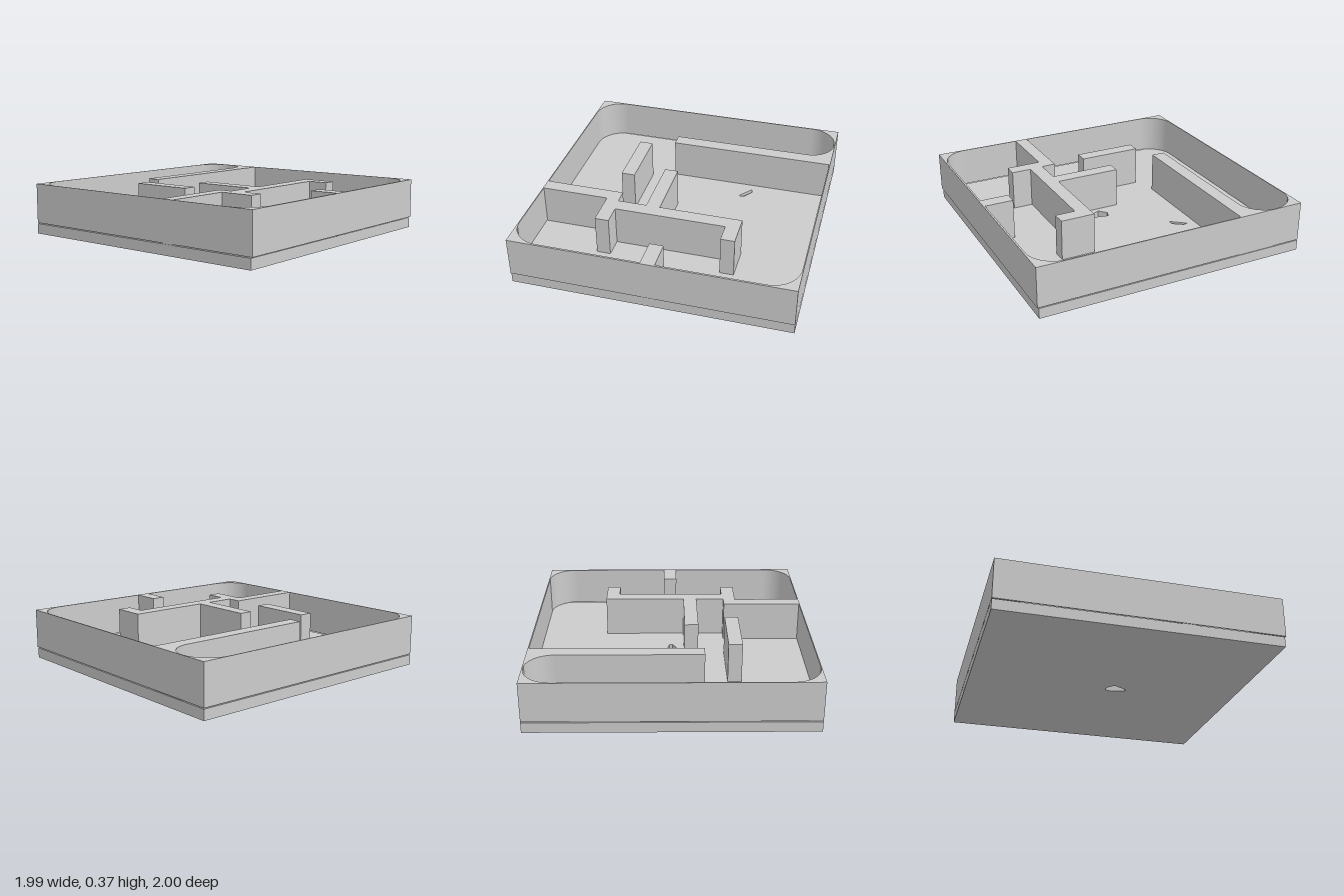
import * as THREE from 'three';

const material = new THREE.MeshStandardMaterial({ color: 0xcccccc });
const BASE_TOP = 0.075, WALL_BOTTOM = 0.081, TOP = 0.37;

// Plan coordinates are [x, z]; shapes are extruded upwards from y0 to y1.
const plan = (points) => new THREE.Shape(points.map(([x, z]) => new THREE.Vector2(x, -z)));
const rect = (x0, x1, z0, z1) => plan([[x0, z0], [x0, z1], [x1, z1], [x1, z0]]);

function slab(name, shape, y0, y1) {
  const geometry = new THREE.ExtrudeGeometry(shape, { depth: y1 - y0, bevelEnabled: false, curveSegments: 16 });
  geometry.rotateX(-Math.PI / 2).translate(0, y0, 0);
  const mesh = new THREE.Mesh(geometry, material);
  mesh.name = name;
  return mesh;
}

function roundedRect(x0, x1, z0, z1, r) {
  const s = new THREE.Shape();
  const [y0, y1] = [-z1, -z0];
  s.absarc(x1 - r, y1 - r, r, 0, Math.PI / 2);
  s.absarc(x0 + r, y1 - r, r, Math.PI / 2, Math.PI);
  s.absarc(x0 + r, y0 + r, r, Math.PI, Math.PI * 1.5);
  s.absarc(x1 - r, y0 + r, r, Math.PI * 1.5, Math.PI * 2);
  s.closePath();
  return s;
}

export function createModel() {
  const model = new THREE.Group();
  model.name = 'walledTray';

  // Base in two layers: one hole goes right through, two pits are shallow
  const hole = [[-0.065, 0.06], [-0.01, 0.01], [0.04, 0.025], [0.01, 0.16], [-0.015, 0.16]];
  const pits = [
    [[0.72, -0.82], [0.845, -0.86], [0.775, -0.765]],
    [[0.33, -0.335], [0.415, -0.44], [0.42, -0.405], [0.37, -0.335]],
  ];
  const lower = rect(-0.995, 0.995, -1, 0.99);
  lower.holes.push(plan(hole));
  const upper = rect(-0.995, 0.995, -1, 0.99);
  upper.holes.push(plan(hole), ...pits.map(plan));
  model.add(slab('basePlate', lower, 0, 0.05), slab('floor', upper, 0.05, BASE_TOP));

  // Thin outer wall with solid rounded corners inside
  const frame = rect(-0.995, 0.995, -1, 1);
  frame.holes.push(roundedRect(-0.988, 0.987, -0.993, 0.987, 0.2));
  model.add(slab('outerWall', frame, WALL_BOTTOM, TOP));

  // Partition walls: name, x range, z range
  const partitions = [
    ['backPartition', -0.23, 0.99, -0.6, -0.5],
    ['freestandingPartition', -0.5, -0.4, -0.445, 0.02],
    ['frontStub', -0.05, 0.05, 0.78, 0.995],
  ];
  for (const [name, ...range] of partitions) model.add(slab(name, rect(...range), BASE_TOP, TOP));

  // Joined run of partitions as one outline
  model.add(slab('branchingPartition', plan([
    [-0.99, 0.26], [-0.41, 0.26], [-0.41, 0.365], [-0.2, 0.365], [-0.2, -0.115],
    [-0.1, -0.115], [-0.1, 0.365], [0.5, 0.365], [0.5, 0.61], [0.4, 0.61],
    [0.4, 0.465], [-0.4, 0.465], [-0.4, 0.61], [-0.5, 0.61], [-0.5, 0.355], [-0.99, 0.355],
  ]), BASE_TOP, TOP));

  // Rounded fillet where the back partition meets the side wall
  const fillet = new THREE.Shape();
  fillet.moveTo(0.99, 0.6);
  fillet.lineTo(0.99, 0.79);
  fillet.absarc(0.8, 0.79, 0.19, 0, -Math.PI / 2, true);
  fillet.closePath();
  model.add(slab('partitionFillet', fillet, BASE_TOP, TOP));

  return model;
}
